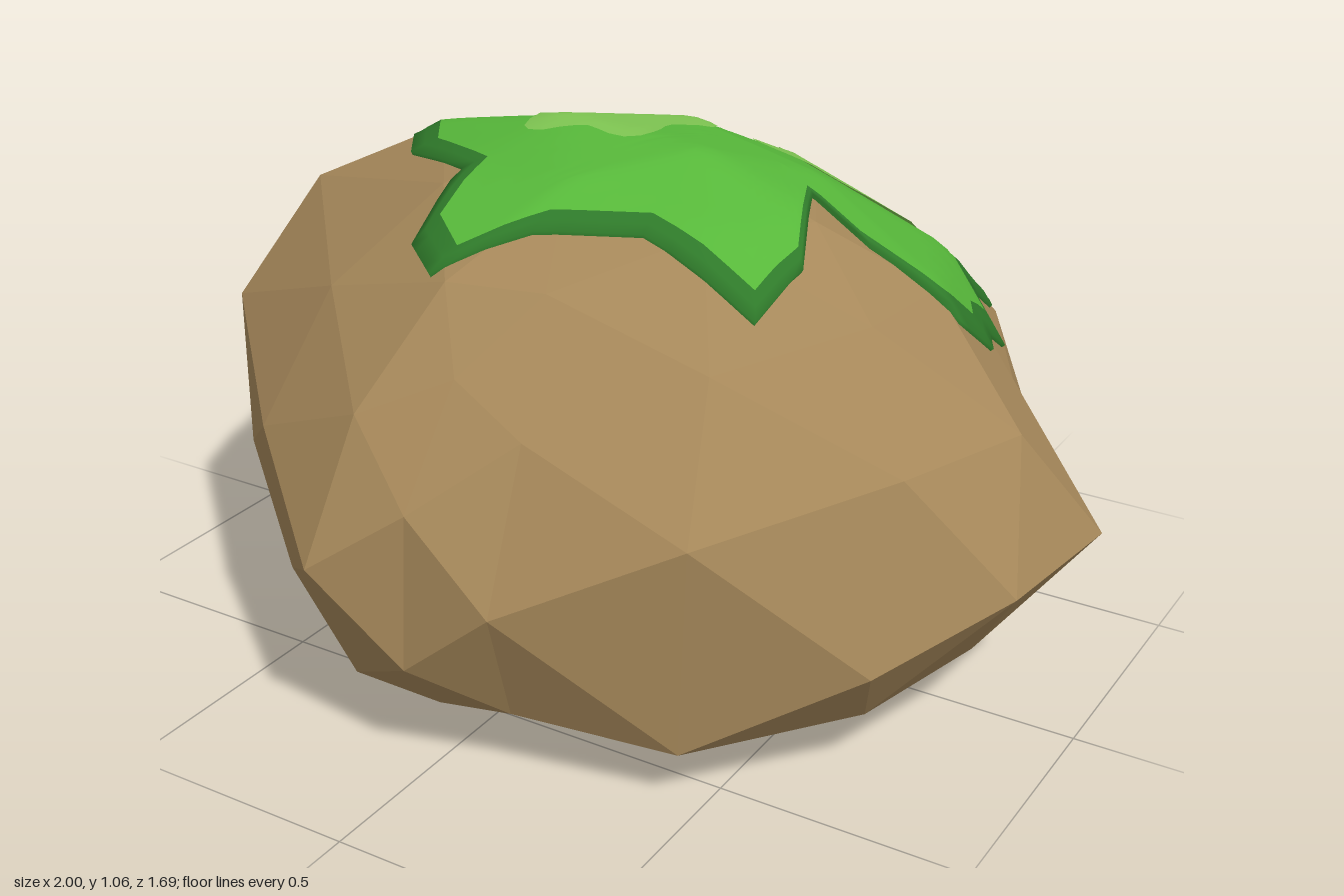
import * as THREE from 'three';

// Plan outline of the boulder: [sphere azimuth in degrees, x, z]
const OUTLINE = [
  [11.6, 0.95, 0.24], [31.7, 0.77, 0.45], [48.2, 0.51, 0.66], [69.1, 0.18, 0.78],
  [110.9, -0.18, 0.84], [131.8, -0.46, 0.65], [148.3, -0.62, 0.47], [155, -0.84, 0.32],
  [168.4, -1, 0.04], [191.6, -0.9, -0.24], [211.7, -0.67, -0.4], [228.2, -0.38, -0.53],
  [249.1, -0.14, -0.7], [290.9, 0.19, -0.85], [311.8, 0.53, -0.72], [315, 0.66, -0.56],
  [328.3, 0.78, -0.3], [335, 0.82, -0.22], [348.4, 1, -0.05], [371.6, 0.95, 0.24],
];

// Ragged edge of the moss patch, [x, z]
const MOSS = [
  [0.05, -0.7], [0.13, -0.69], [0.47, -0.69], [0.53, -0.6], [0.54, -0.45], [0.66, -0.35],
  [0.67, -0.24], [0.71, -0.16], [0.69, -0.04], [0.51, -0.02], [0.36, -0.07], [0.46, 0.16],
  [0.44, 0.3], [0.19, 0.27], [0, 0.35], [-0.14, 0.48], [-0.24, 0.4], [-0.26, 0.2],
  [-0.48, 0.08], [-0.56, -0.04], [-0.42, -0.22], [-0.25, -0.28], [-0.28, -0.53], [-0.05, -0.57],
];

const WAIST = 0.43, DOME = 0.63;

// Azimuth in degrees, counted from the first outline entry
function azimuth(x, z) {
  const a = THREE.MathUtils.radToDeg(Math.atan2(z, x));
  return a < OUTLINE[0][0] - 0.01 ? a + 360 : a;
}

// Outline point at an azimuth
function outlinePoint(a) {
  const i = Math.max(1, OUTLINE.findIndex((o) => o[0] >= a - 0.02));
  const [a0, x0, z0] = OUTLINE[i - 1], [a1, x1, z1] = OUTLINE[i];
  const t = (a - a0) / (a1 - a0);
  return [x0 + (x1 - x0) * t, z0 + (z1 - z0) * t];
}

// Coarse faceted sphere reshaped to the outline, with a tall dome and a flat belly
function rockGeometry() {
  const geo = new THREE.IcosahedronGeometry(1, 2);
  const p = geo.attributes.position;
  for (let i = 0; i < p.count; i++) {
    const x = p.getX(i), z = p.getZ(i);
    const y = Math.abs(p.getY(i)) < 1e-4 ? 0 : p.getY(i);
    const a = azimuth(x, z);
    const [ox, oz] = outlinePoint(a);
    let s = Math.hypot(x, z);
    s *= y > 0 ? 1 - (0.13 + 0.2 * x) * y * y : 1 - 0.2 * Math.abs(x) * Math.sqrt(-y);
    // The dome is slimmer front to back and fuller on the right
    const slim = 1 - 0.085 * THREE.MathUtils.smoothstep(y, 0.1, 0.4);
    const full = 1 + (x < 0 ? 0.13 * x * x : 0);
    let h = WAIST + (y > 0 ? y * DOME * full : -WAIST * Math.pow(-y, 0.55));
    // The waist sags at the front left corner
    const sag = y > 0 ? Math.max(0, 1 - y / 0.2) : 1 + y;
    h -= 0.17 * sag * Math.exp(-(((a - 42) / 20) ** 2));
    p.setXYZ(i, ox * s, Math.max(0, h), oz * s * slim);
  }
  geo.computeVertexNormals();
  return geo;
}

// Splits every edge of a closed loop into n pieces
function subdivide(loop, n) {
  const out = [];
  loop.forEach(([ax, az], i) => {
    const [bx, bz] = loop[(i + 1) % loop.length];
    for (let k = 0; k < n; k++) out.push([ax + ((bx - ax) * k) / n, az + ((bz - az) * k) / n]);
  });
  return out;
}

// Lays a patch on the rock: rings are [scale of the loop, lift off the surface]
function drape(rock, loop, [cx, cz], rings) {
  const ray = new THREE.Raycaster();
  const down = new THREE.Vector3(0, -1, 0), core = new THREE.Vector3(0, 0.2, 0);
  const pos = [], index = [], n = loop.length;
  for (const [s, lift] of rings) {
    for (const [x, z] of loop) {
      const v = new THREE.Vector3(cx + (x - cx) * s, 3, cz + (z - cz) * s);
      ray.set(v, down);
      const hit = ray.intersectObject(rock)[0];
      const q = v.clone().setY(Math.max(hit ? hit.point.y : 0, 0.57));
      q.addScaledVector(q.clone().sub(core).normalize(), lift);
      pos.push(q.x, q.y, q.z);
    }
  }
  for (let i = 0; i < rings.length - 1; i++) {
    for (let j = 0; j < n; j++) {
      const k = (j + 1) % n;
      const a = i * n + j, b = i * n + k, c = a + n, d = b + n;
      index.push(a, d, c, a, b, d);
    }
  }
  const geo = new THREE.BufferGeometry();
  geo.setAttribute('position', new THREE.Float32BufferAttribute(pos, 3));
  geo.setIndex(index);
  geo.computeVertexNormals();
  return geo;
}

// Five-lobed loop for the pale patches
function lobedLoop(cx, cz, r, turn) {
  return Array.from({ length: 40 }, (_, i) => {
    const a = (i / 40) * Math.PI * 2;
    const d = r * (1 + 0.18 * Math.cos(5 * a + turn));
    return [cx + d * Math.cos(a), cz + d * Math.sin(a)];
  });
}

export function createModel() {
  const group = new THREE.Group();
  group.name = 'mossyBoulder';
  const add = (name, geo, color, opts = {}) => {
    const mesh = new THREE.Mesh(geo, new THREE.MeshStandardMaterial({ color, ...opts }));
    mesh.name = name;
    group.add(mesh);
    return mesh;
  };

  const rock = add('rock', rockGeometry(), 0xa6885a, { flatShading: true });

  // Moss: thin bright sheet with a darker rim that tucks into the rock
  const side = THREE.DoubleSide;
  const centre = [0.12, -0.2];
  const loop = subdivide(MOSS, 4);
  const sheet = Array.from({ length: 16 }, (_, i) => [(0.91 * i) / 15, 0.014]);
  add('moss', drape(rock, loop, centre, sheet), 0x57b83a, { side });
  add('mossRim', drape(rock, loop, centre, [[0.91, 0.014], [0.955, 0.012], [1, 0.008], [1.003, -0.01]]), 0x2f7a2a, { side });

  // Pale patches on the moss
  [[0.24, -0.4, 0.15, 0.6], [-0.11, -0.12, 0.17, 2.2]].forEach(([x, z, r, turn]) => {
    const rings = [0, 0.17, 0.33, 0.5, 0.67, 0.83, 1].map((s) => [s, 0.019]);
    add('mossHighlight', drape(rock, lobedLoop(x, z, r, turn), [x, z], rings), 0x7fc652, { side });
  });

  return group;
}
